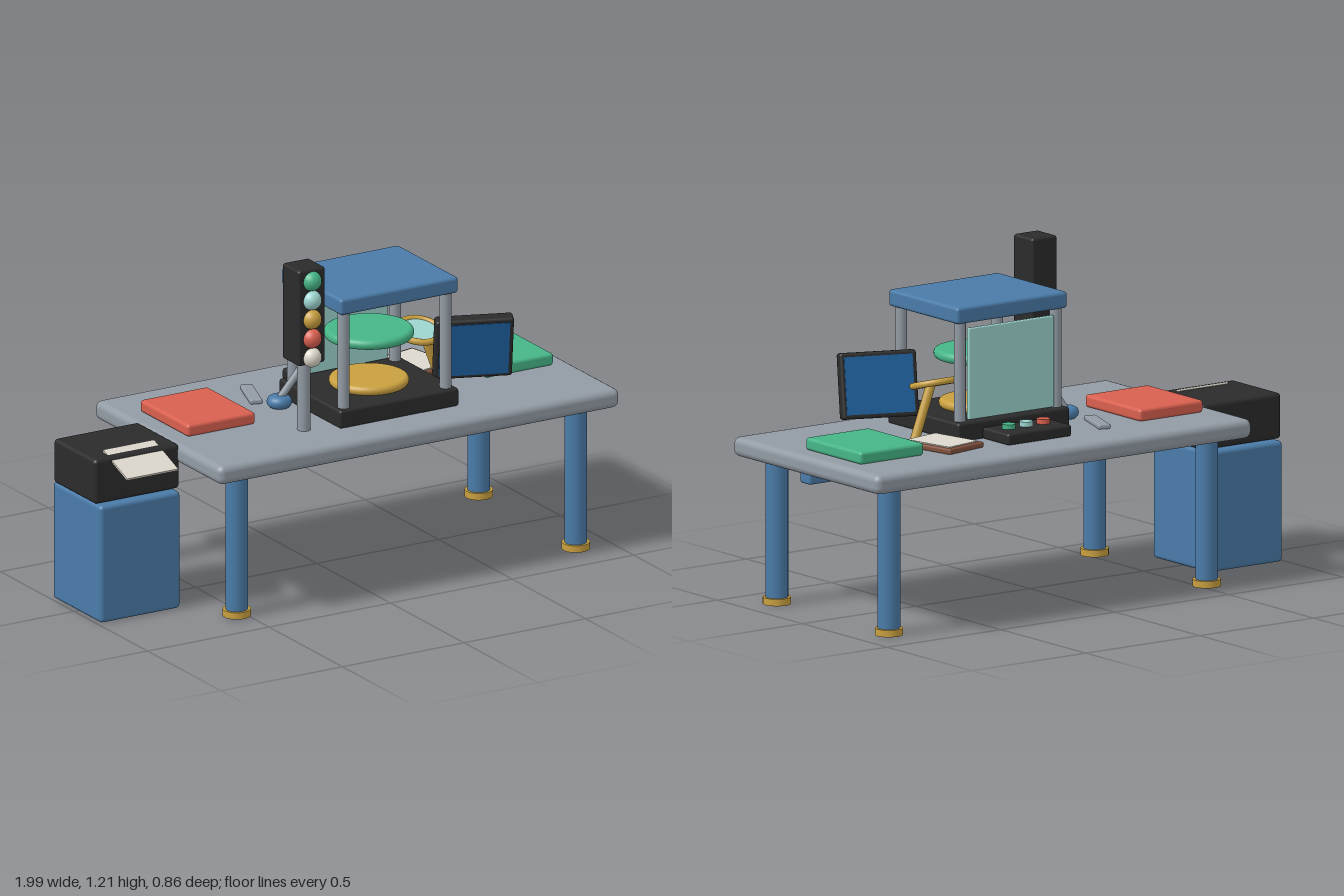
import * as THREE from 'three';
import { RoundedBoxGeometry } from 'three/addons/geometries/RoundedBoxGeometry.js';

function material(name, color) {
  const m = new THREE.MeshStandardMaterial({ color });
  m.name = name;
  return m;
}

export function createModel() {
  const blue = material('steel blue', 0x4a7ba8);
  const gray = material('gray metal', 0x929ba4);
  const black = material('charcoal', 0x2b2b2b);
  const gold = material('gold', 0xc9a040);
  const red = material('coral red', 0xd9604f);
  const green = material('green', 0x46b587);
  const teal = material('pale teal', 0x9ed6d0);
  const white = material('paper white', 0xddd8cc);
  const screenBlue = material('screen blue', 0x1f62a0);
  const brown = material('brown', 0x80503a);

  const model = new THREE.Group();
  model.name = 'desk';

  const add = (name, geometry, mat, x, y, z, parent = model) => {
    const mesh = new THREE.Mesh(geometry, mat);
    mesh.name = name;
    mesh.position.set(x, y, z);
    parent.add(mesh);
    return mesh;
  };
  const box = (name, mat, w, h, d, x, y, z, r = 0.01, parent = model) =>
    add(name, new RoundedBoxGeometry(w, h, d, 3, r), mat, x, y, z, parent);
  const rod = (name, mat, r, h, x, y, z, parent = model) =>
    add(name, new THREE.CylinderGeometry(r, r, h, 32), mat, x, y, z, parent);
  // Rod between two points
  const strut = (name, mat, r, a, b) => {
    const dir = new THREE.Vector3().subVectors(b, a);
    const mid = a.clone().add(b).multiplyScalar(0.5);
    const mesh = rod(name, mat, r, dir.length(), mid.x, mid.y, mid.z);
    mesh.quaternion.setFromUnitVectors(new THREE.Vector3(0, 1, 0), dir.normalize());
    return mesh;
  };
  // Disc with a rounded rim
  const roundDisc = (name, mat, r, h, x, y, z) => {
    const c = h / 2;
    const pts = [new THREE.Vector2(0, -c)];
    for (let i = 0; i <= 10; i++) {
      const a = -Math.PI / 2 + (Math.PI * i) / 10;
      pts.push(new THREE.Vector2(r - c + c * Math.cos(a), c * Math.sin(a)));
    }
    pts.push(new THREE.Vector2(0, c));
    return add(name, new THREE.LatheGeometry(pts, 40), mat, x, y, z);
  };

  // Table
  box('tabletop', gray, 1.65, 0.07, 0.86, 0.165, 0.565, 0, 0.025);
  for (const x of [-0.53, 0.865]) {
    for (const z of [-0.33, 0.33]) {
      rod('tableLeg', blue, 0.04, 0.53, x, 0.27, z);
      rod('legFoot', gold, 0.05, 0.025, x, 0.0125, z);
    }
  }
  box('crossbar', blue, 1.36, 0.08, 0.06, 0.168, 0.491, 0.19);

  // Cabinet with printer
  box('cabinet', blue, 0.33, 0.435, 0.33, -0.825, 0.2175, 0, 0.015);
  box('printer', black, 0.35, 0.165, 0.285, -0.825, 0.52, 0, 0.015);
  add('printedSheet', new THREE.BoxGeometry(0.21, 0.008, 0.175), white, -0.825, 0.58, 0.163)
    .rotation.x = 0.35;

  // Canopied chamber
  box('chamberBase', black, 0.49, 0.067, 0.42, 0.165, 0.632, 0.08);
  box('chamberRoof', blue, 0.485, 0.06, 0.41, 0.165, 1.05, 0.085, 0.012);
  for (const x of [-0.045, 0.375]) {
    for (const z of [-0.09, 0.255]) rod('chamberPost', gray, 0.021, 0.38, x, 0.845, z);
  }
  box('glassPanel', teal, 0.375, 0.33, 0.015, 0.165, 0.835, -0.107, 0.005);
  roundDisc('lowerDisc', gold, 0.142, 0.034, 0.165, 0.68, 0.08);
  roundDisc('upperDisc', green, 0.16, 0.037, 0.165, 0.858, 0.08);

  // Signal tower
  rod('signalPole', gray, 0.024, 0.27, -0.19, 0.73, 0.225);
  box('signalHousing', black, 0.11, 0.355, 0.115, -0.19, 1.035, 0.2235, 0.01);
  [green, teal, gold, red, white].forEach((mat, i) => {
    add('signalLamp', new THREE.SphereGeometry(0.036, 28, 18), mat, -0.19, 1.168 - i * 0.071, 0.277);
  });

  // Tilted display with a screen on each side
  const display = new THREE.Group();
  display.name = 'display';
  display.position.set(0.53, 0.77, 0.185);
  display.rotation.set(0.2, -0.37, 0, 'YXZ');
  model.add(display);
  box('displayBody', black, 0.28, 0.235, 0.05, 0, 0, 0, 0.01, display);
  for (const side of [-1, 1]) {
    add('screen', new THREE.BoxGeometry(0.25, 0.205, 0.005), screenBlue, 0, 0, side * 0.025, display);
  }

  // Magnifier on a leaning stem
  strut('magnifierStem', gold, 0.017, new THREE.Vector3(0.505, 0.6, 0), new THREE.Vector3(0.435, 0.79, 0));
  const magnifier = new THREE.Group();
  magnifier.name = 'magnifier';
  magnifier.position.set(0.42, 0.793, 0);
  magnifier.rotation.x = 0.27;
  model.add(magnifier);
  const ring = add('magnifierRing', new THREE.TorusGeometry(0.077, 0.012, 14, 40), gold, 0, 0, 0, magnifier);
  ring.rotation.x = Math.PI / 2;
  rod('magnifierLens', teal, 0.074, 0.009, 0, 0, 0, magnifier);

  // Control lever
  roundDisc('leverBase', blue, 0.045, 0.045, -0.14, 0.622, -0.025);
  strut('leverArm', gray, 0.014, new THREE.Vector3(-0.14, 0.63, -0.025), new THREE.Vector3(-0.04, 0.785, 0.015));
  add('leverKnob', new THREE.SphereGeometry(0.024, 24, 16), teal, -0.038, 0.785, 0.018);

  // Desk pads
  box('redPad', red, 0.28, 0.045, 0.328, -0.447, 0.6225, -0.073, 0.012);
  box('greenPad', green, 0.28, 0.045, 0.328, 0.78, 0.6225, -0.073, 0.012);

  // Button box
  box('buttonBox', black, 0.28, 0.042, 0.155, 0.165, 0.62, -0.205, 0.01);
  [red, teal, green].forEach((mat, i) => {
    rod('button', mat, 0.024, 0.02, 0.09 + i * 0.076, 0.648, -0.2);
  });

  // Clipboard
  const clipboard = new THREE.Group();
  clipboard.name = 'clipboard';
  clipboard.position.set(0.5, 0.6, -0.155);
  clipboard.rotation.y = 0.2;
  model.add(clipboard);
  box('board', brown, 0.18, 0.02, 0.235, 0, 0.01, 0, 0.006, clipboard);
  add('clipboardPaper', new THREE.BoxGeometry(0.15, 0.006, 0.2), white, 0, 0.021, 0, clipboard);

  // Small metal bar
  box('metalBar', gray, 0.045, 0.018, 0.175, -0.165, 0.608, -0.175, 0.006).rotation.y = -0.33;

  return model;
}
